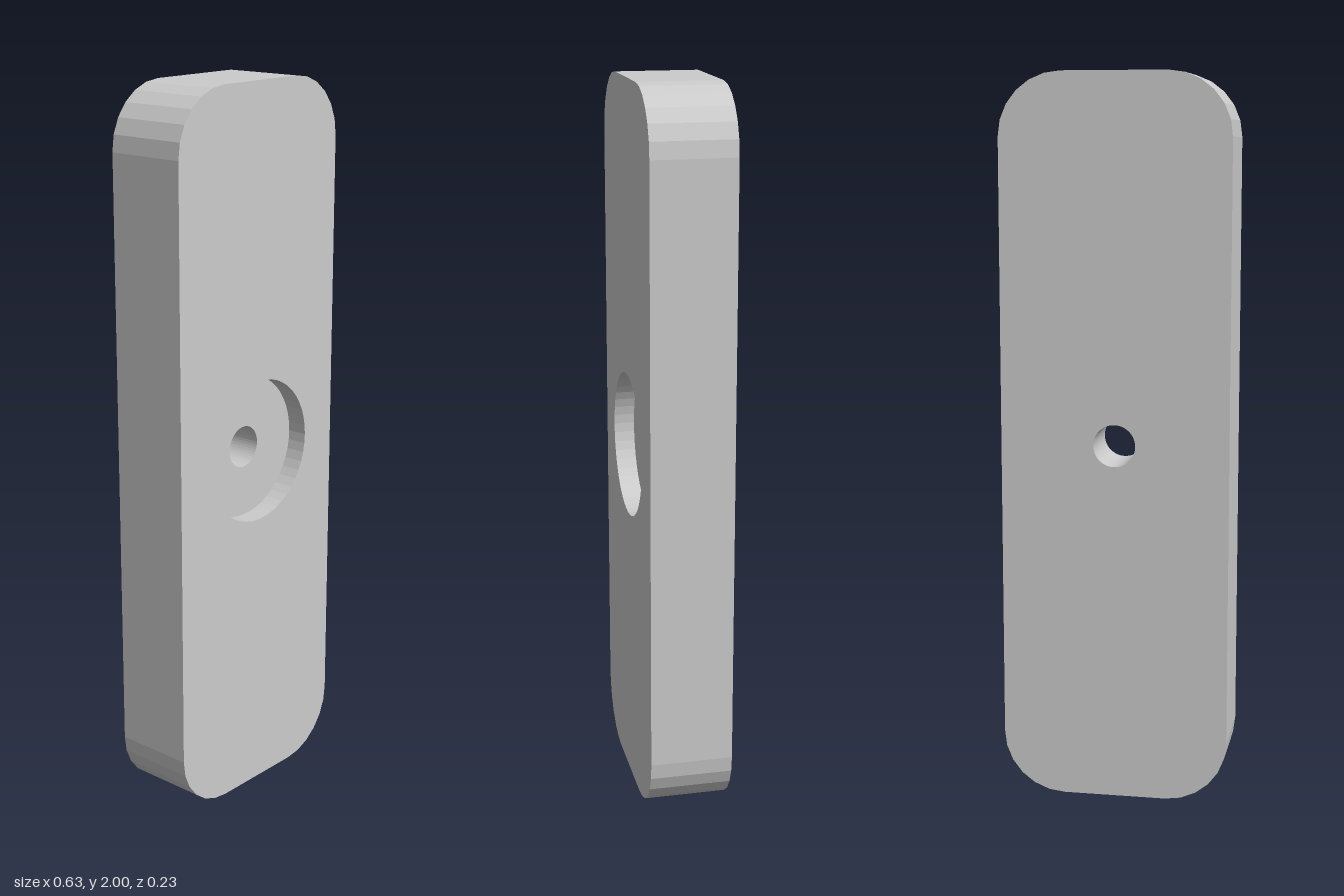
import * as THREE from 'three';

const W = 0.315, H = 1, D = 0.114;        // half width, height and depth
const CORNER = 0.172, CORNER_STEPS = 6;
const POCKET_R = 0.2, HOLE_R = 0.058, FLOOR_Z = D - 0.057, SIDES = 48;

// Rounded rectangle, counter-clockwise, centred on the origin
function outlinePoints() {
  const points = [];
  [[1, 1], [-1, 1], [-1, -1], [1, -1]].forEach(([sx, sy], quarter) => {
    for (let i = 0; i <= CORNER_STEPS; i++) {
      const a = (quarter + i / CORNER_STEPS) * Math.PI / 2;
      points.push(new THREE.Vector2(
        sx * (W - CORNER) + CORNER * Math.cos(a),
        sy * (H - CORNER) + CORNER * Math.sin(a)));
    }
  });
  return points;
}

function circlePoints(r) {
  return Array.from({ length: SIDES }, (_, i) => {
    const a = i / SIDES * Math.PI * 2;
    return new THREE.Vector2(r * Math.cos(a), r * Math.sin(a));
  });
}

// Flat plate face with a round opening
function faceGeometry(openingRadius) {
  const shape = new THREE.Shape(outlinePoints());
  shape.holes.push(new THREE.Path(circlePoints(openingRadius)));
  return new THREE.ShapeGeometry(shape);
}

// Band of quads around the outline, from back to front
function rimGeometry() {
  const points = outlinePoints(), position = [];
  points.forEach((p, i) => {
    const q = points[(i + 1) % points.length];
    position.push(p.x, p.y, -D, q.x, q.y, -D, q.x, q.y, D);
    position.push(p.x, p.y, -D, q.x, q.y, D, p.x, p.y, D);
  });
  const geometry = new THREE.BufferGeometry();
  geometry.setAttribute('position', new THREE.Float32BufferAttribute(position, 3));
  geometry.computeVertexNormals();
  return geometry;
}

export function createModel() {
  const group = new THREE.Group();
  group.name = 'counterboredPlate';
  const material = new THREE.MeshStandardMaterial({ color: 0xcccccc, flatShading: true });
  const add = (name, geometry) => {
    const mesh = new THREE.Mesh(geometry, material);
    mesh.name = name;
    mesh.position.y = H;
    group.add(mesh);
  };

  // Plate: front and back faces joined by the rounded rim
  add('frontFace', faceGeometry(POCKET_R).translate(0, 0, D));
  add('backFace', faceGeometry(HOLE_R).rotateY(Math.PI).translate(0, 0, -D));
  add('rim', rimGeometry());

  // Counterbore: pocket wall, pocket floor and through hole in one profile
  const profile = [[POCKET_R, D], [POCKET_R, FLOOR_Z], [HOLE_R, FLOOR_Z], [HOLE_R, -D]]
    .map(([r, z]) => new THREE.Vector2(r, z));
  add('counterbore', new THREE.LatheGeometry(profile, SIDES).rotateX(Math.PI / 2));

  return group;
}
